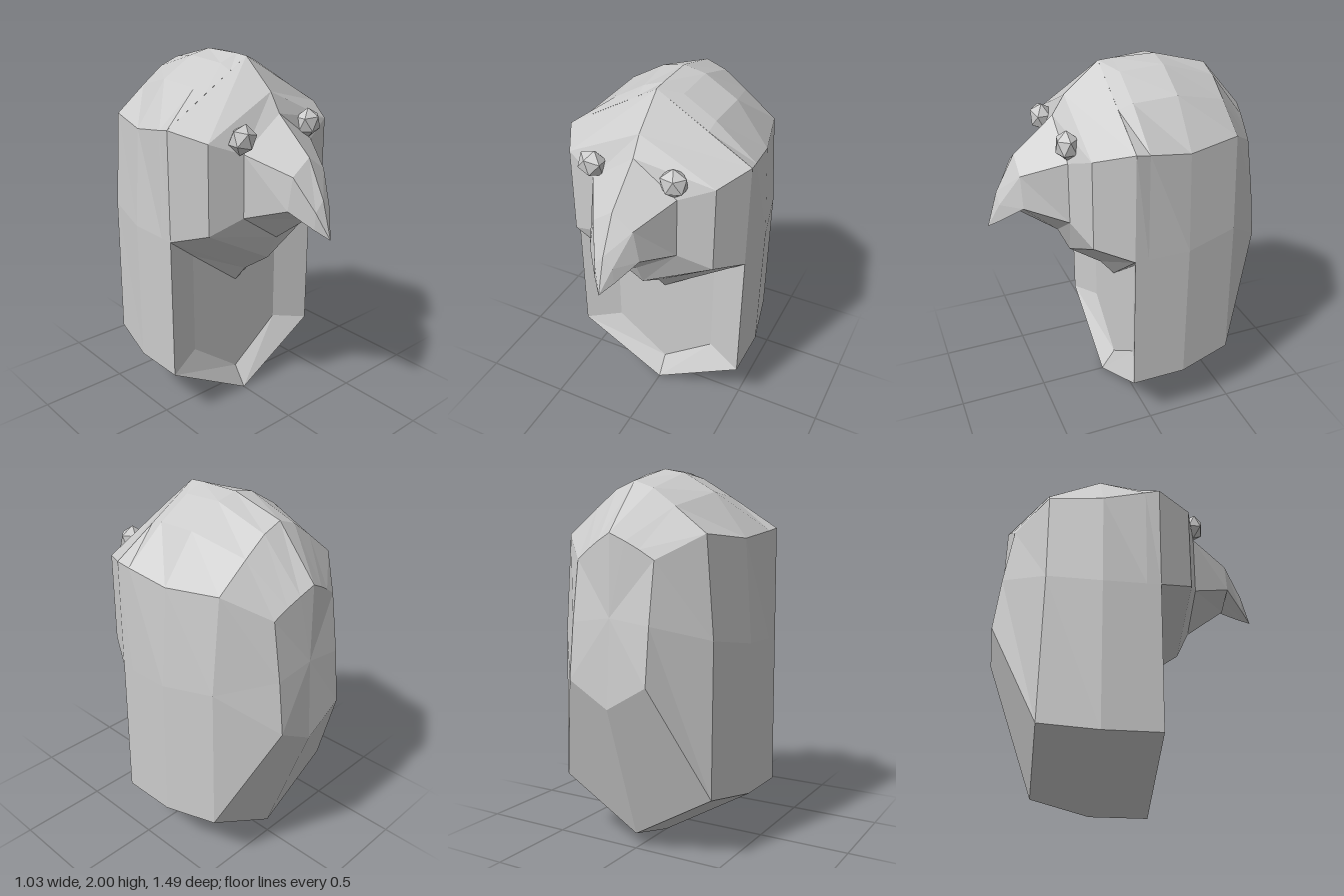
import * as THREE from 'three';

const grey = () => new THREE.MeshStandardMaterial({ color: 0xcccccc, flatShading: true, side: THREE.DoubleSide });

// Half outline (top to bottom on +x; optional third value shifts z) -> closed ring
function ring(z, half) {
  const right = half.map(([x, y, dz = 0]) => new THREE.Vector3(x, y, z + dz));
  const left = right.slice(1, -1).reverse().map((p) => new THREE.Vector3(-p.x, p.y, p.z));
  return [...right, ...left];
}

// Skins rings ordered back to front, with optional centre points closing the ends
function loft(name, rings, backCentre, frontCentre) {
  const pos = [];
  const tri = (...pts) => pts.forEach((p) => pos.push(p.x, p.y, p.z));
  const n = rings[0].length;
  for (let j = 0; j < n; j++) {
    const k = (j + 1) % n;
    for (let i = 0; i < rings.length - 1; i++) {
      const [a, b, c, d] = [rings[i][j], rings[i][k], rings[i + 1][k], rings[i + 1][j]];
      tri(a, d, b);
      tri(b, d, c);
    }
    const last = rings[rings.length - 1];
    if (backCentre) tri(backCentre, rings[0][j], rings[0][k]);
    if (frontCentre) tri(frontCentre, last[k], last[j]);
  }
  const geo = new THREE.BufferGeometry();
  geo.setAttribute('position', new THREE.Float32BufferAttribute(pos, 3));
  geo.computeVertexNormals();
  const mesh = new THREE.Mesh(geo, grey());
  mesh.name = name;
  return mesh;
}

// Six-sided section: ridge, shoulder, lower corner, keel
const hex = (z, top, w, shoulder, low, bottom, lowW = w) =>
  ring(z, [[0, top], [w, shoulder], [lowW, low], [0, bottom]]);

export function createModel() {
  const model = new THREE.Group();
  model.name = 'birdBust';
  const V = (x, y, z) => new THREE.Vector3(x, y, z);

  // Body and crown: ridge, two crown points, shoulder, mid side, lower corner, keel
  const body = [
    ring(-0.705, [[0, 1.66], [0.08, 1.62, 0.015], [0.15, 1.58, 0.03], [0.225, 1.53, 0.045],
      [0.225, 1.22, -0.005], [0.225, 0.93, -0.04], [0, 0.8, -0.04]]),
    ring(-0.48, [[0, 1.92], [0.11, 1.88], [0.235, 1.79], [0.41, 1.655],
      [0.45, 1.14], [0.45, 0.34, -0.015], [0, 0.08, -0.015]]),
    ring(-0.19, [[0, 2], [0.12, 1.975], [0.3, 1.87], [0.48, 1.635],
      [0.515, 1.1], [0.515, 0.3], [0, 0]]),
    ring(0.04, [[0, 2], [0.11, 1.96], [0.285, 1.855], [0.507, 1.675],
      [0.515, 1.1], [0.515, 0.3], [0, 0]]),
    ring(0.115, [[0, 1.995], [0.11, 1.93], [0.28, 1.83], [0.515, 1.69],
      [0.515, 1.1], [0.515, 0.3], [0, 0]]),
  ];
  model.add(loft('body', body, V(0, 1.25, -0.715)));

  // Recessed chest panel below the chin
  const rim = ring(0.115, [[0, 0.8], [0.515, 1.1], [0.515, 0.3], [0, 0]]);
  const inset = ring(0.035, [[0, 0.7], [0.31, 0.94], [0.31, 0.35], [0, 0.117]]);
  const chest = loft('chestPanel', [rim, inset]);
  model.add(chest);
  const floor = new THREE.Shape(inset.map((p) => new THREE.Vector2(p.x, p.y)));
  const chestFloor = new THREE.Mesh(new THREE.ShapeGeometry(floor), grey());
  chestFloor.position.z = 0.035;
  chestFloor.name = 'chestFloor';
  model.add(chestFloor);

  // Face tapering into the lower jaw
  model.add(loft('face', [
    hex(0.115, 1.995, 0.515, 1.69, 1.1, 0.8),
    hex(0.3, 1.84, 0.41, 1.64, 1.16, 0.93),
    hex(0.365, 1.74, 0.235, 1.57, 1.235, 1.07),
    hex(0.58, 1.56, 0.11, 1.48, 1.31, 1.235, 0.14),
  ], null, V(0, 1.35, 0.58)));

  // Hooked upper beak
  model.add(loft('beak', [
    hex(0.58, 1.56, 0.11, 1.48, 1.31, 1.3, 0.14),
    hex(0.685, 1.365, 0.05, 1.31, 1.22, 1.215, 0.055),
  ], null, V(0, 1.17, 0.745)));

  // Faceted eyes
  for (const [x, y, turn] of [[-0.24, 1.645, 0.3], [0.215, 1.658, -0.5]]) {
    const geo = new THREE.IcosahedronGeometry(0.079, 0);
    geo.rotateZ(turn);
    const eye = new THREE.Mesh(geo, grey());
    eye.scale.z = 0.8;
    eye.position.set(x, y, 0.36);
    eye.name = x > 0 ? 'leftEye' : 'rightEye';
    model.add(eye);
  }
  return model;
}
